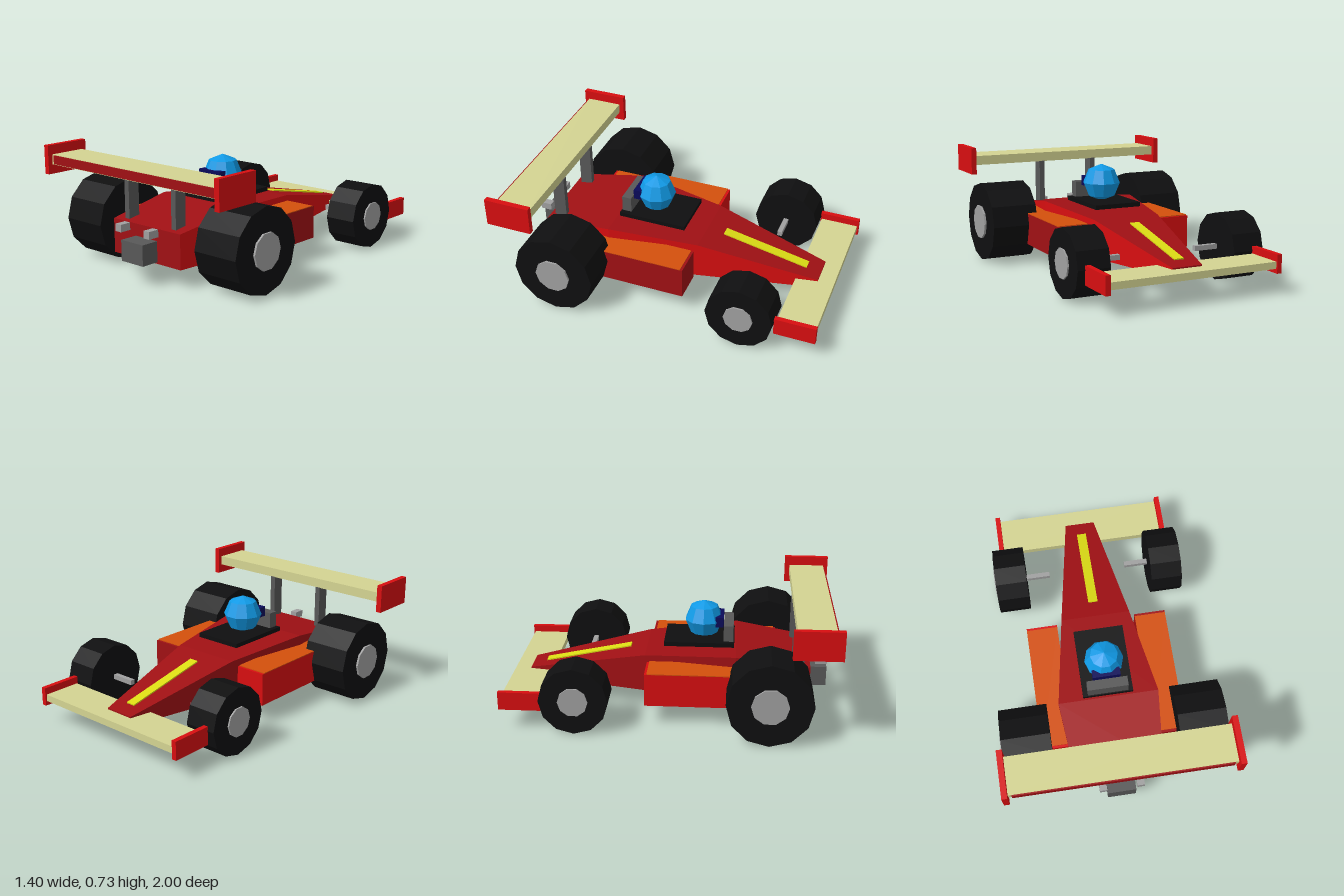
import * as THREE from 'three';

const mat = (name, color) => {
  const m = new THREE.MeshStandardMaterial({ color });
  m.name = name;
  return m;
};

export function createModel() {
  const red = mat('red', 0xd80e10);
  const darkRed = mat('dark red', 0xa01014);
  const orange = mat('orange', 0xd4500c);
  const beige = mat('beige', 0xd4d492);
  const blue = mat('blue', 0x109ae6);
  const navy = mat('navy', 0x0a0a5a);
  const black = mat('black', 0x0f0f10);
  const grey = mat('grey', 0x585858);
  const silver = mat('silver', 0xa0a0a0);
  const yellow = mat('yellow', 0xdcdc14);

  const car = new THREE.Group();
  car.name = 'racingCar';

  const add = (name, geometry, material) => {
    const mesh = new THREE.Mesh(geometry, material);
    mesh.name = name;
    car.add(mesh);
    return mesh;
  };
  // box given by its limits on each axis
  const box = (name, material, [x0, x1], [y0, y1], [z0, z1]) => {
    const mesh = add(name, new THREE.BoxGeometry(x1 - x0, y1 - y0, z1 - z0), material);
    mesh.position.set((x0 + x1) / 2, (y0 + y1) / 2, (z0 + z1) / 2);
    return mesh;
  };
  // flat-faced drum lying along x, given by its x limits
  const drum = (name, material, sides, r, x0, x1, y, z) => {
    const geo = new THREE.CylinderGeometry(r, r, x1 - x0, sides).rotateZ(Math.PI / 2).toNonIndexed();
    geo.computeVertexNormals();
    add(name, geo, material).position.set((x0 + x1) / 2, y, z);
  };
  const span = (s, a, b) => (s > 0 ? [a, b] : [-b, -a]);

  // body: rectangular sections from tail to nose [z, half width, bottom, top]
  const sections = [
    [0.85, 0.27, 0.118, 0.325],
    [0.4, 0.31, 0.118, 0.393],
    [-0.155, 0.218, 0.118, 0.354],
    [-0.89, 0.095, 0.142, 0.2],
  ].map(([z, w, b, t]) => [[-w, b, z], [w, b, z], [w, t, z], [-w, t, z]]);
  const points = [];
  const bodyGeo = new THREE.BufferGeometry();
  const quad = (a, b, c, d) => points.push(...a, ...b, ...c, ...a, ...c, ...d);
  for (let k = 0; k < 4; k++) {
    const start = points.length / 3;
    const n = (k + 1) % 4;
    for (let i = 0; i < sections.length - 1; i++) {
      const p = sections[i], q = sections[i + 1];
      quad(p[k], q[k], q[n], p[n]);
    }
    bodyGeo.addGroup(start, points.length / 3 - start, k);
  }
  const capStart = points.length / 3;
  quad(...sections[0]);
  quad(...[...sections[3]].reverse());
  bodyGeo.addGroup(capStart, 12, 2);
  bodyGeo.setAttribute('position', new THREE.Float32BufferAttribute(points, 3));
  bodyGeo.computeVertexNormals();
  add('body', bodyGeo, [orange, red, darkRed, darkRed]);

  // stripe lying on the sloping nose
  const slope = Math.atan2(0.154, 0.735);
  const stripe = add('noseStripe', new THREE.BoxGeometry(0.06, 0.008, 0.54 / Math.cos(slope)), yellow);
  stripe.position.set(0, 0.354 - 0.375 * Math.tan(slope) + 0.004, -0.53);
  stripe.rotation.x = -slope;

  // cockpit and driver
  box('cockpitPad', black, [-0.155, 0.155], [0.393, 0.42], [-0.043, 0.388]);
  box('headrest', grey, [-0.125, 0.125], [0.42, 0.52], [0.322, 0.382]);
  const helmetGeo = new THREE.SphereGeometry(0.12, 10, 4).toNonIndexed();
  helmetGeo.computeVertexNormals();
  add('helmet', helmetGeo, blue).position.set(0, 0.525, 0.198);
  box('visor', navy, [-0.085, 0.085], [0.497, 0.56], [0.27, 0.32]);

  // wings
  box('frontWing', beige, [-0.53, 0.53], [0.15, 0.192], [-0.99, -0.755]);
  box('rearWing', beige, [-0.67, 0.67], [0.61, 0.67], [0.745, 0.97]);
  box('rearWingPanel', darkRed, [-0.645, 0.645], [0.615, 0.667], [0.97, 0.978]);

  // gearbox
  box('gearbox', grey, [-0.087, 0.087], [0.128, 0.252], [0.84, 0.963]);

  for (const s of [1, -1]) {
    const side = s > 0 ? 'left' : 'right';
    // side pods with coloured tops
    box(side + 'SidePod', s > 0 ? darkRed : red, span(s, 0.25, 0.445), [0.123, 0.325], [-0.14, 0.655]);
    box(side + 'SidePodTop', orange, span(s, 0.25, 0.445), [0.324, 0.33], [-0.125, 0.64]);

    // wing end plates and supports
    box(side + 'FrontEndPlate', red, span(s, 0.528, 0.558), [0.123, 0.235], [-1, -0.748]);
    box(side + 'RearEndPlate', red, span(s, 0.666, 0.7), [0.553, 0.727], [0.715, 1]);
    box(side + 'WingSupport', grey, span(s, 0.172, 0.207), [0.32, 0.612], [0.74, 0.818]);

    // exhaust and front axle
    box(side + 'Exhaust', silver, span(s, 0.092, 0.137), [0.293, 0.337], [0.887, 0.958]);
    box(side + 'FrontAxle', silver, span(s, 0.25, 0.42), [0.195, 0.225], [-0.56, -0.53]);

    // wheels with hubs
    drum(side + 'RearWheel', black, 12, 0.254, ...span(s, 0.385, 0.682), 0.255, 0.604);
    drum(side + 'RearHub', silver, 10, 0.11, ...span(s, 0.66, 0.695), 0.255, 0.604);
    drum(side + 'FrontWheel', black, 12, 0.206, ...span(s, 0.402, 0.602), 0.208, -0.545);
    drum(side + 'FrontHub', silver, 10, 0.09, ...span(s, 0.58, 0.612), 0.208, -0.545);
  }
  return car;
}
